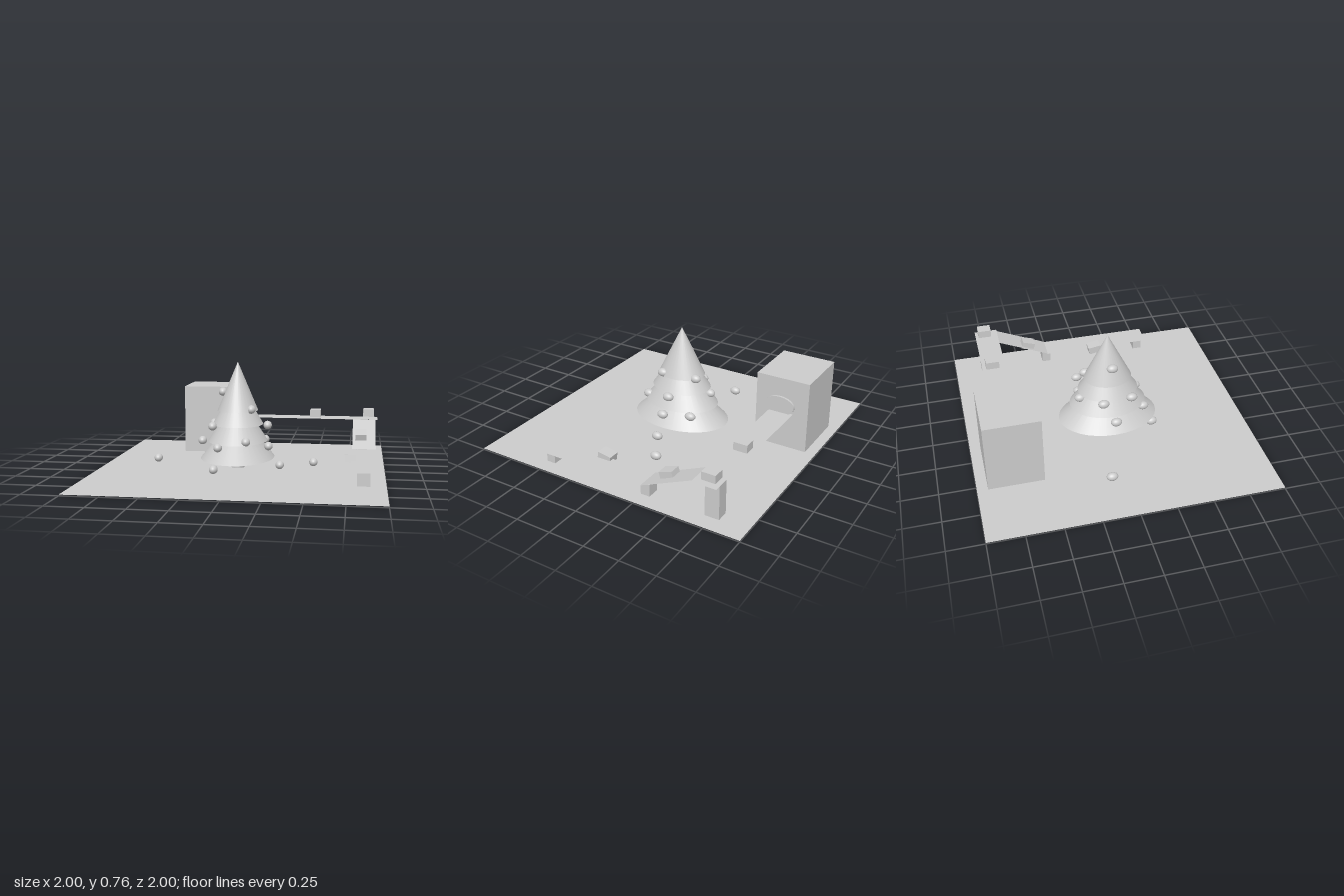
import * as THREE from 'three';

const grey = new THREE.MeshStandardMaterial({ color: 0xcccccc });
grey.name = 'plain grey';
const greySheet = new THREE.MeshStandardMaterial({ color: 0xcccccc, side: THREE.DoubleSide });
greySheet.name = 'plain grey sheet';

export function createModel() {
  const model = new THREE.Group();

  function add(parent, name, geometry, [x, y, z], material = grey) {
    const mesh = new THREE.Mesh(geometry, material);
    mesh.name = name;
    mesh.position.set(x, y, z);
    parent.add(mesh);
    return mesh;
  }
  function group(name) {
    const g = new THREE.Group();
    g.name = name;
    model.add(g);
    return g;
  }
  // Flat sheet lying on the xz plane
  const sheet = (w, d) => new THREE.PlaneGeometry(w, d).rotateX(-Math.PI / 2);

  add(model, 'ground', sheet(2, 2), [0, 0.008, 0], greySheet);

  // Tree: trunk and four oval cones, each [base y, apex y, x radius, z radius]
  const tree = group('tree');
  const cx = -0.035, cz = 0.018;
  add(tree, 'trunk', new THREE.CylinderGeometry(0.046, 0.046, 0.1, 32), [cx, 0.055, cz]);
  const tiers = [
    [0.085, 0.40, 0.26, 0.357],
    [0.205, 0.53, 0.21, 0.275],
    [0.322, 0.63, 0.18, 0.215],
    [0.42, 0.763, 0.143, 0.17],
  ];
  for (const [base, apex, rx, rz] of tiers) {
    const cone = new THREE.ConeGeometry(1, apex - base, 32).scale(rx, 1, rz);
    add(tree, 'branches', cone, [cx, (base + apex) / 2, cz]);
  }

  // Baubles on the tree and on the ground
  const baubles = group('baubles');
  const bauble = new THREE.SphereGeometry(1, 32, 16).scale(0.03, 0.03, 0.04);
  const spots = [
    [-0.647, 0.036, -0.1], [0.497, 0.036, -0.097], [0.267, 0.036, 0.04], [-0.16, 0.047, 0.318],
    [0.053, 0.229, 0.245], [-0.14, 0.186, 0.255], [0.176, 0.314, 0.004], [0.073, 0.437, 0.11],
    [-0.14, 0.55, 0.027], [-0.29, 0.197, 0.02], [-0.193, 0.32, 0.155], [0.187, 0.17, 0.045],
    [0.142, 0.186, -0.155], [0.03, 0.427, -0.13], [-0.072, 0.288, -0.19], [-0.217, 0.314, -0.053],
  ];
  for (const spot of spots) add(baubles, 'bauble', bauble, spot);

  // Machine with an oval outlet on its side
  const machine = group('machine');
  add(machine, 'machineBody', new THREE.BoxGeometry(0.43, 0.517, 0.385), [-0.325, 0.2645, -0.733]);
  const outlet = new THREE.CylinderGeometry(1, 1, 0.03, 32).rotateZ(Math.PI / 2).scale(1, 0.067, 0.108);
  add(machine, 'outlet', outlet, [-0.109, 0.322, -0.72]);

  // Conveyor: high belt, ramp, low belt and their legs
  const conveyor = group('conveyor');
  add(conveyor, 'highBelt', sheet(1.07, 0.172), [0.425, 0.272, -0.731], greySheet);
  const drop = 0.165, run = 0.375;
  const ramp = add(conveyor, 'ramp', sheet(0.172, Math.hypot(drop, run)), [0.857, 0.188, -0.458], greySheet);
  ramp.rotation.x = Math.atan2(drop, run);
  add(conveyor, 'lowBelt', sheet(0.172, 0.81), [0.857, 0.102, 0.135], greySheet);
  add(conveyor, 'tallLeg', new THREE.BoxGeometry(0.085, 0.27, 0.1), [0.843, 0.135, -0.75]);
  for (const z of [0.483, -0.275]) {
    add(conveyor, 'shortLeg', new THREE.BoxGeometry(0.085, 0.094, 0.066), [0.853, 0.047, z]);
  }

  // Parcels riding the belts, the last two tilted
  const parcels = group('parcels');
  const parcel = new THREE.BoxGeometry(0.082, 0.056, 0.098);
  const rides = [
    [0.475, 0.305, -0.74, 0], [0.89, 0.316, -0.747, 0],
    [0.833, 0.186, -0.419, 0.31], [0.764, 0.109, 0.108, -0.17],
  ];
  for (const [x, y, z, tilt] of rides) add(parcels, 'parcel', parcel, [x, y, z]).rotation.x = tilt;

  return model;
}
